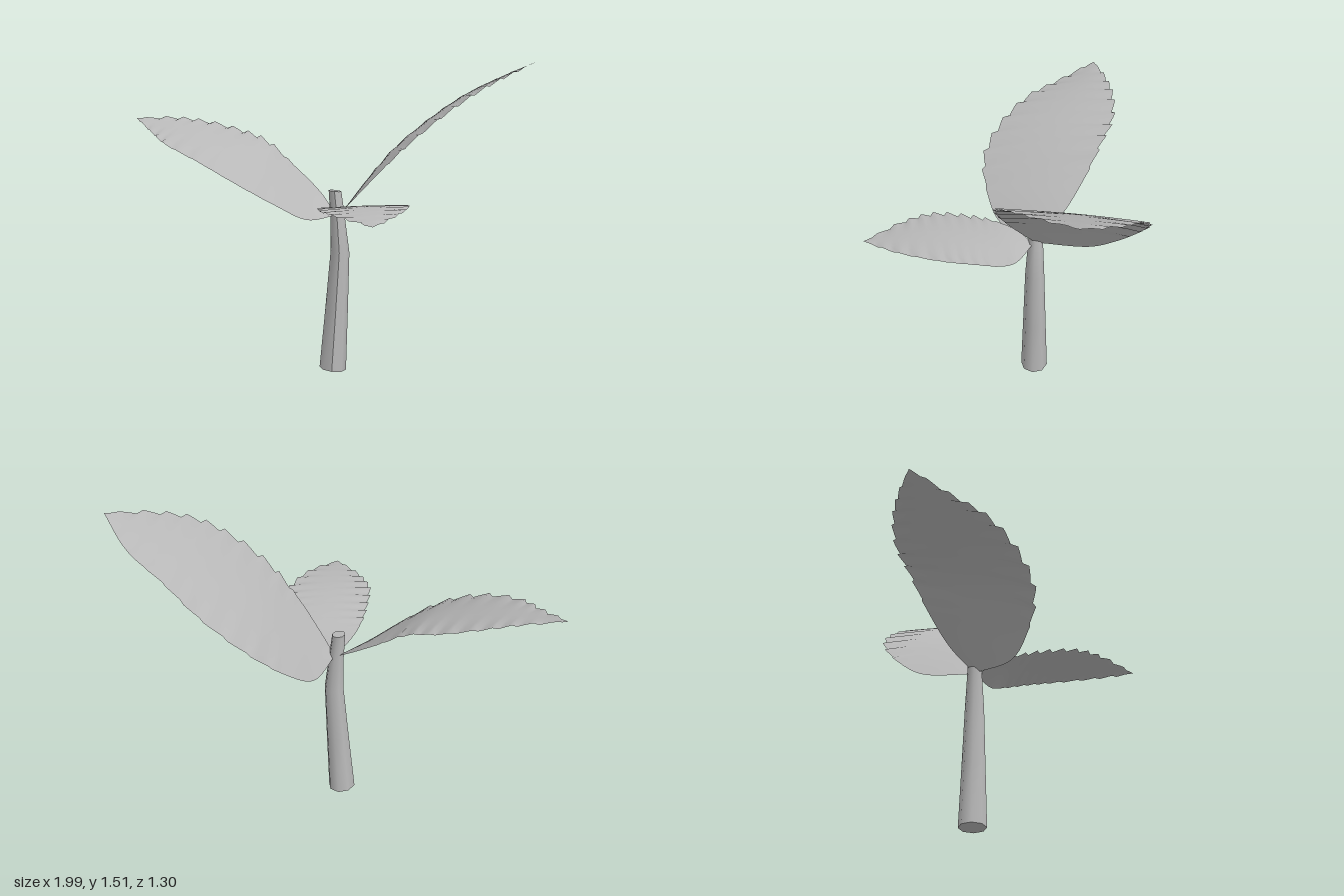
import * as THREE from 'three';

const grey = new THREE.MeshStandardMaterial({ color: 0xb8b8b8 });
grey.name = 'plantGrey';
const leafGrey = grey;
leafGrey.side = THREE.DoubleSide;

const curve = pts => new THREE.CatmullRomCurve3(pts.map(p => new THREE.Vector3(...p)), false, 'centripetal');

// Leaf blade lofted between two edge curves, with toothed edges and soft pleats
function makeLeaf(name, edgeA, edgeB, bulge, phase) {
  const a = curve(edgeA), b = curve(edgeB);
  const rows = 56, cols = 10;
  const pos = [], index = [];
  for (let i = 0; i <= rows; i++) {
    const t = i / rows;
    const pa = a.getPoint(t), pb = b.getPoint(t);
    const mid = pa.clone().add(pb).multiplyScalar(0.5);
    const half = pb.clone().sub(mid);
    // teeth fade out towards the stalk and the tip
    const fade = THREE.MathUtils.smoothstep(t, 0.25, 0.4) * (1 - THREE.MathUtils.smoothstep(t, 0.93, 1));
    const arch = Math.sin(Math.PI * t);
    for (let j = 0; j <= cols; j++) {
      const s = j / cols * 2 - 1;
      const tooth = ((t * 14 + phase + (s > 0 ? 0.4 : 0)) % 1) - 0.5;
      const edge = Math.abs(s) ** 4;
      const p = mid.clone().addScaledVector(half, s * (1 + 0.09 * tooth * edge * fade));
      p.y += bulge * arch * (1 - s * s) + 0.016 * tooth * s * s * fade;
      pos.push(p.x, p.y, p.z);
      if (i < rows && j < cols) {
        const k = i * (cols + 1) + j, n = k + cols + 1;
        index.push(k, k + 1, n, k + 1, n + 1, n);
      }
    }
  }
  const g = new THREE.BufferGeometry();
  g.setAttribute('position', new THREE.Float32BufferAttribute(pos, 3));
  g.setIndex(index);
  g.computeVertexNormals();
  const mesh = new THREE.Mesh(g, leafGrey);
  mesh.name = name;
  return mesh;
}

// Bent, tapering stem: each row is [height, centre x, radius]
function makeStem() {
  const rows = [[0.008, 0.012, 0.066], [0.3, 0.03, 0.056], [0.6, 0.047, 0.046], [0.77, 0.035, 0.036], [0.9, 0.022, 0.031]];
  const g = new THREE.CylinderGeometry(1, 1, 1, 8, rows.length - 1);
  const p = g.attributes.position;
  for (let i = 0; i < p.count; i++) {
    const [y, cx, r] = rows[Math.round((p.getY(i) + 0.5) * (rows.length - 1))];
    const x = p.getX(i);
    p.setXYZ(i, cx + x * r, y - x * r * 0.1, -0.128 + p.getZ(i) * r);
  }
  g.computeVertexNormals();
  const mesh = new THREE.Mesh(g, grey);
  mesh.name = 'stem';
  return mesh;
}

export function createModel() {
  const group = new THREE.Group();
  group.name = 'seedling';
  group.add(makeStem());

  // Tall leaf rising towards +x
  group.add(makeLeaf('tallLeaf',
    [[0.04, 0.78, -0.13], [0.07, 0.8, -0.38], [0.15, 0.9, -0.51], [0.29, 1.06, -0.62], [0.48, 1.22, -0.645], [0.65, 1.34, -0.6], [0.82, 1.43, -0.54], [0.99, 1.515, -0.385]],
    [[0.04, 0.78, -0.13], [0.13, 0.88, -0.08], [0.24, 1.0, -0.03], [0.38, 1.14, 0], [0.55, 1.28, -0.02], [0.7, 1.38, -0.08], [0.84, 1.45, -0.2], [0.99, 1.515, -0.385]],
    0.015, 0));

  // Broad leaf reaching towards -x, front edge lower
  group.add(makeLeaf('broadLeaf',
    [[0.03, 0.78, -0.13], [-0.06, 0.88, -0.24], [-0.2, 1.0, -0.33], [-0.35, 1.12, -0.4], [-0.49, 1.17, -0.44], [-0.67, 1.215, -0.43], [-0.82, 1.235, -0.385], [-1, 1.235, -0.31]],
    [[0.03, 0.78, -0.13], [-0.1, 0.785, 0.06], [-0.23, 0.86, 0.14], [-0.41, 0.965, 0.18], [-0.6, 1.06, 0.12], [-0.78, 1.13, 0], [-0.88, 1.175, -0.14], [-1, 1.235, -0.31]],
    0.015, 0.3));

  // Small, nearly level leaf towards the front
  group.add(makeLeaf('smallLeaf',
    [[0.04, 0.775, -0.12], [-0.01, 0.815, -0.02], [-0.03, 0.84, 0.09], [-0.025, 0.86, 0.22], [0, 0.872, 0.37], [0.08, 0.87, 0.49], [0.24, 0.852, 0.645]],
    [[0.04, 0.775, -0.12], [0.22, 0.785, -0.06], [0.32, 0.83, 0], [0.365, 0.862, 0.11], [0.385, 0.88, 0.24], [0.345, 0.878, 0.45], [0.24, 0.852, 0.645]],
    0.01, 0.6));

  return group;
}
